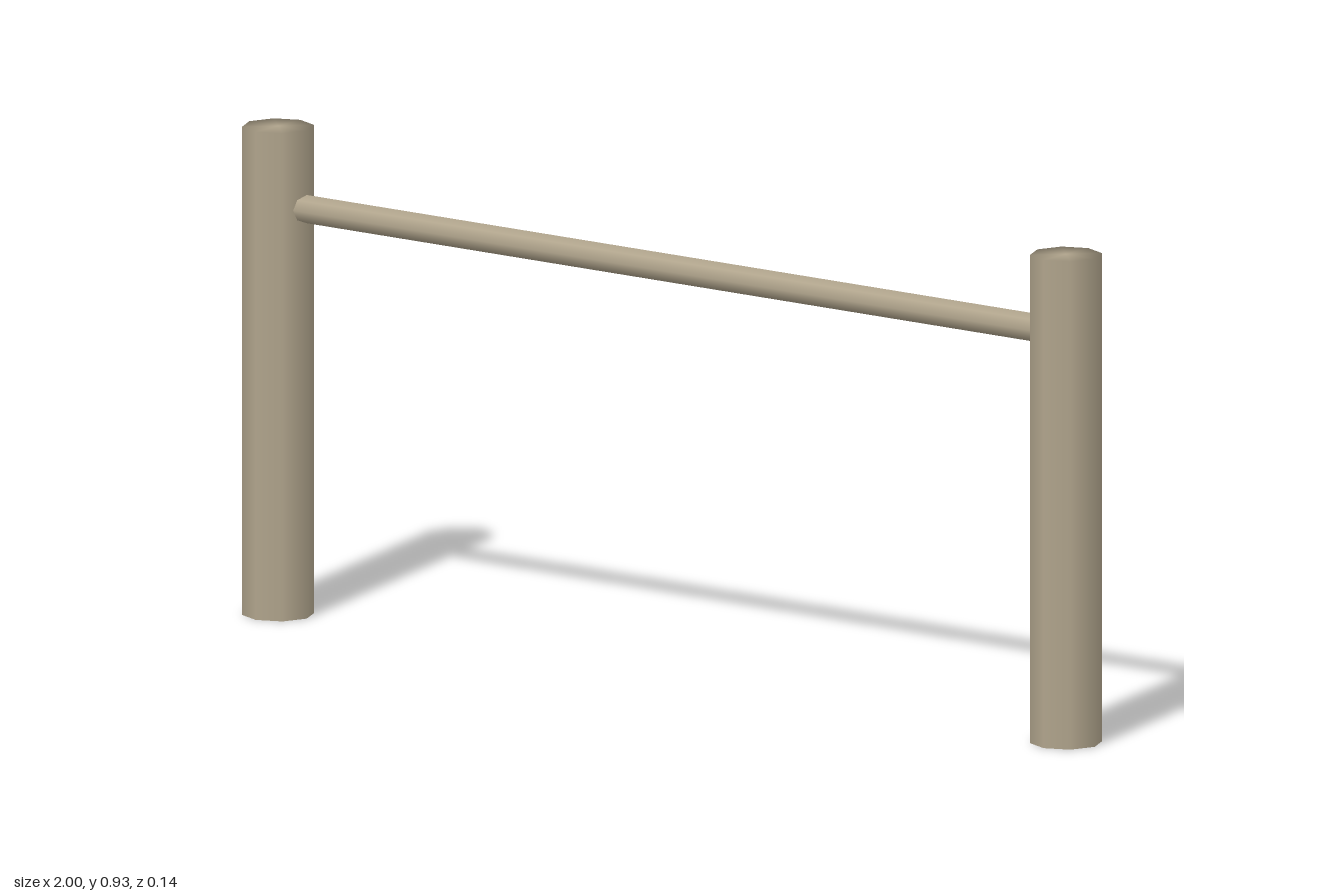
import * as THREE from 'three';

// Eight-sided round bar, smooth all round; cap edges keep the outward side normals
function roundBar(radius, length) {
  const geo = new THREE.CylinderGeometry(radius, radius, length, 8);
  const pos = geo.attributes.position;
  const normal = geo.attributes.normal;
  for (let i = 0; i < pos.count; i++) {
    const x = pos.getX(i), z = pos.getZ(i), r = Math.hypot(x, z);
    if (r > radius * 0.5) normal.setXYZ(i, x / r, 0, z / r);
  }
  return geo;
}

export function createModel() {
  const group = new THREE.Group();
  group.name = 'barrier';
  const wood = new THREE.MeshStandardMaterial({ color: 0xb0a48c });
  wood.name = 'weathered wood';

  const postRadius = 0.068, postHeight = 0.932, postX = 1 - postRadius;

  // Upright posts
  const postGeo = roundBar(postRadius, postHeight);
  for (const [name, side] of [['leftPost', 1], ['rightPost', -1]]) {
    const post = new THREE.Mesh(postGeo, wood);
    post.name = name;
    post.position.set(side * postX, postHeight / 2, 0);
    group.add(post);
  }

  // Crossbar, let into both posts
  const rail = new THREE.Mesh(roundBar(0.027, postX * 2), wood);
  rail.name = 'crossbar';
  rail.rotation.z = Math.PI / 2;
  rail.position.y = 0.782;
  group.add(rail);

  return group;
}
